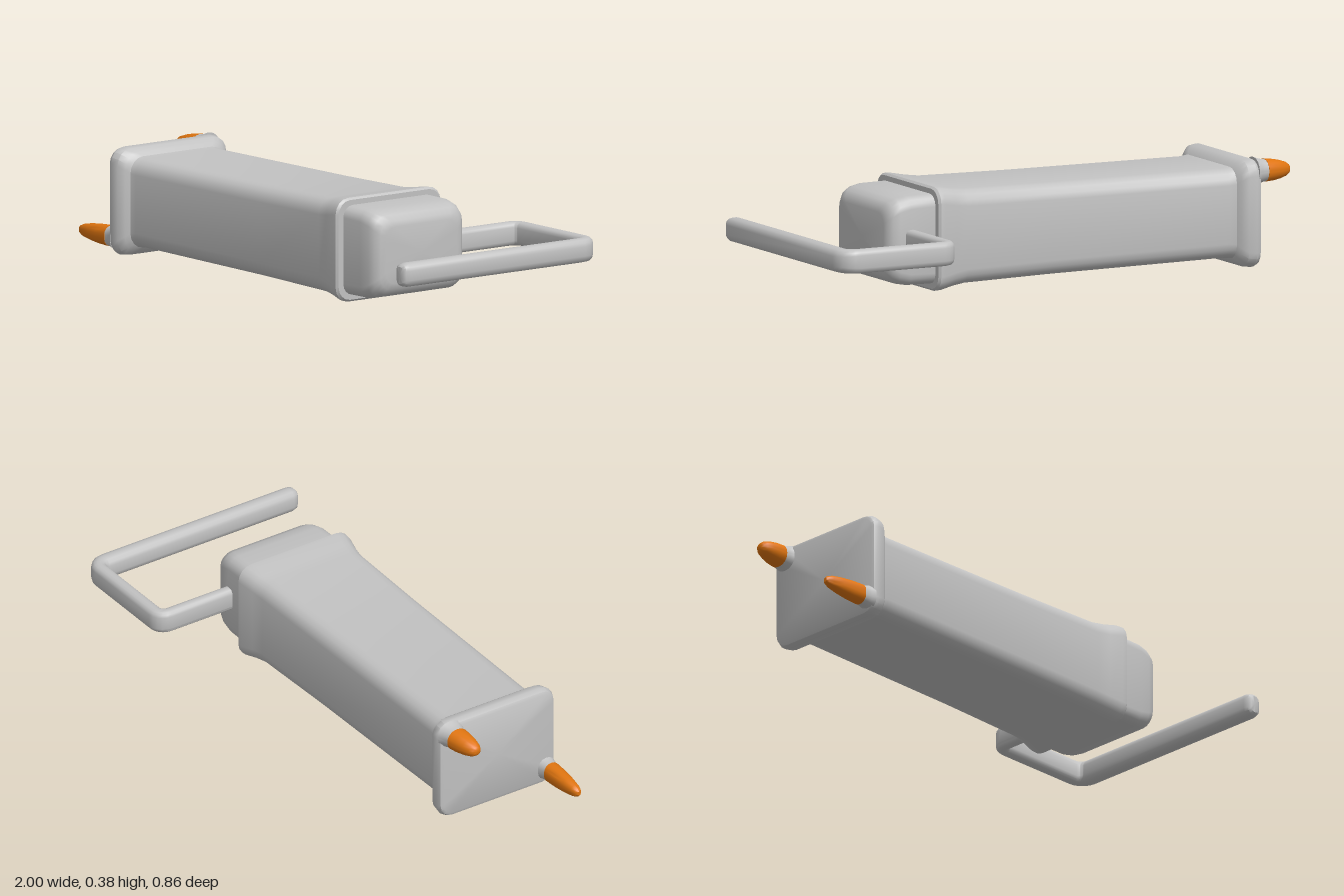
import * as THREE from 'three';
import { toCreasedNormals } from 'three/addons/utils/BufferGeometryUtils.js';

const CY = 0.192, CZ = 0.078;

// Skins rounded-rectangle sections. Each section: x, y, z centre, half height hy,
// half width hw, corner radius r and yaw of the path direction (0 = +x).
function loft(sections, steps = 4, crease = 0.7) {
  const pos = [], idx = [], n = 4 * (steps + 1);
  for (const { x, y, z, hy, hw, r, yaw = 0 } of sections) {
    for (let c = 0; c < 4; c++) {
      const sw = c === 0 || c === 3 ? 1 : -1, sy = c < 2 ? 1 : -1;
      for (let k = 0; k <= steps; k++) {
        const t = (c + k / steps) * Math.PI / 2;
        const w = sw * (hw - r) + r * Math.cos(t);
        const h = sy * (hy - r) + r * Math.sin(t);
        pos.push(x - Math.sin(yaw) * w, y + h, z + Math.cos(yaw) * w);
      }
    }
  }
  const last = sections.length - 1;
  for (let i = 0; i < last; i++) {
    for (let j = 0; j < n; j++) {
      const a = i * n + j, b = i * n + (j + 1) % n;
      idx.push(a, a + n, b + n, a, b + n, b);
    }
  }
  // end caps
  for (const [s, flip] of [[0, false], [last, true]]) {
    const centre = pos.length / 3, { x, y, z } = sections[s];
    pos.push(x, y, z);
    for (let j = 0; j < n; j++) {
      const a = s * n + j, b = s * n + (j + 1) % n;
      if (flip) idx.push(centre, b, a); else idx.push(centre, a, b);
    }
  }
  const g = new THREE.BufferGeometry();
  g.setAttribute('position', new THREE.Float32BufferAttribute(pos, 3));
  g.setIndex(idx);
  return toCreasedNormals(g, crease);
}

// Sections along the main axis: [x, half height, half width, corner radius]
const axial = rows => rows.map(([x, hy, hw, r]) => ({ x, y: CY, z: CZ, hy, hw, r }));

export function createModel() {
  const grey = new THREE.MeshStandardMaterial({ color: 0xc2c2c2 });
  grey.name = 'lightGrey';
  const orange = new THREE.MeshStandardMaterial({ color: 0xe07510 });
  orange.name = 'orange';
  const model = new THREE.Group();
  const add = (name, geometry, material = grey) => {
    const mesh = new THREE.Mesh(geometry, material);
    mesh.name = name;
    model.add(mesh);
  };

  // long body with end flange and flared front lip
  add('body', loft(axial([
    [-0.797, 0.172, 0.226, 0.04],
    [-0.792, 0.183, 0.236, 0.05],
    [-0.775, 0.19, 0.243, 0.055],
    [-0.745, 0.186, 0.239, 0.055],
    [-0.725, 0.172, 0.222, 0.055],
    [-0.715, 0.16, 0.206, 0.055],
    [-0.69, 0.157, 0.203, 0.055],
    [0.0, 0.161, 0.207, 0.055],
    [0.34, 0.166, 0.212, 0.055],
    [0.39, 0.172, 0.219, 0.055],
    [0.44, 0.181, 0.23, 0.055],
    [0.458, 0.182, 0.231, 0.055],
    [0.466, 0.175, 0.224, 0.05],
  ])));

  // rounded crank housing
  add('housing', loft(axial([
    [0.455, 0.157, 0.203, 0.04],
    [0.56, 0.156, 0.203, 0.042],
    [0.6, 0.149, 0.2, 0.045],
    [0.625, 0.138, 0.193, 0.048],
    [0.64, 0.12, 0.176, 0.045],
    [0.645, 0.1, 0.156, 0.04],
  ])));

  // bent crank handle: straight, arc, straight, arc, straight
  const handle = [];
  const put = (x, z, deg, hw, hy = 0.042) => handle.push({
    x, y: CY + 0.001, z, hy, hw, r: Math.min(hw, hy) * 0.8, yaw: deg * Math.PI / 180,
  });
  const bend = (cx, cz, radius, from, hw0, hw1) => {
    for (let k = 0; k <= 5; k++) {
      const deg = from + 18 * k, a = deg * Math.PI / 180;
      put(cx + radius * Math.sin(a), cz - radius * Math.cos(a), deg, hw0 + (hw1 - hw0) * k / 5);
    }
  };
  put(0.558, -0.08, -90, 0.023);
  bend(0.593, -0.375, 0.035, -90, 0.023, 0.025);
  bend(0.922, -0.365, 0.045, 0, 0.025, 0.032);
  put(0.967, 0.405, 90, 0.032);
  put(0.967, 0.422, 90, 0.027, 0.038);
  put(0.967, 0.429, 90, 0.018, 0.03);
  add('crankHandle', loft(handle, 3));

  // two prongs: grey collar and tapered orange tip
  const prongs = [
    { name: 'upper', y: 0.337, z: -0.113, length: 0.105, tipY: -0.003, tipZ: 0.012, hy: 0.04, hw: 0.042 },
    { name: 'lower', y: 0.063, z: 0.28, length: 0.17, tipY: 0, tipZ: 0, hy: 0.037, hw: 0.031 },
  ];
  for (const p of prongs) {
    const at = (x, t, s) => ({
      x, y: p.y + p.tipY * t, z: p.z + p.tipZ * t,
      hy: p.hy * s, hw: p.hw * s, r: Math.min(p.hy, p.hw) * s * 0.95,
    });
    add(p.name + 'ProngCollar', loft([
      at(-0.831, 0, 0.96), at(-0.815, 0, 1.0), at(-0.8, 0, 1.1), at(-0.785, 0, 1.25),
    ]));
    const taper = [[1, 0.22], [0.96, 0.4], [0.85, 0.6], [0.6, 0.8], [0.3, 0.94], [0, 1]];
    add(p.name + 'ProngTip', loft(taper.map(([t, s]) => at(-0.828 - p.length * t, t, s))), orange);
  }
  return model;
}
